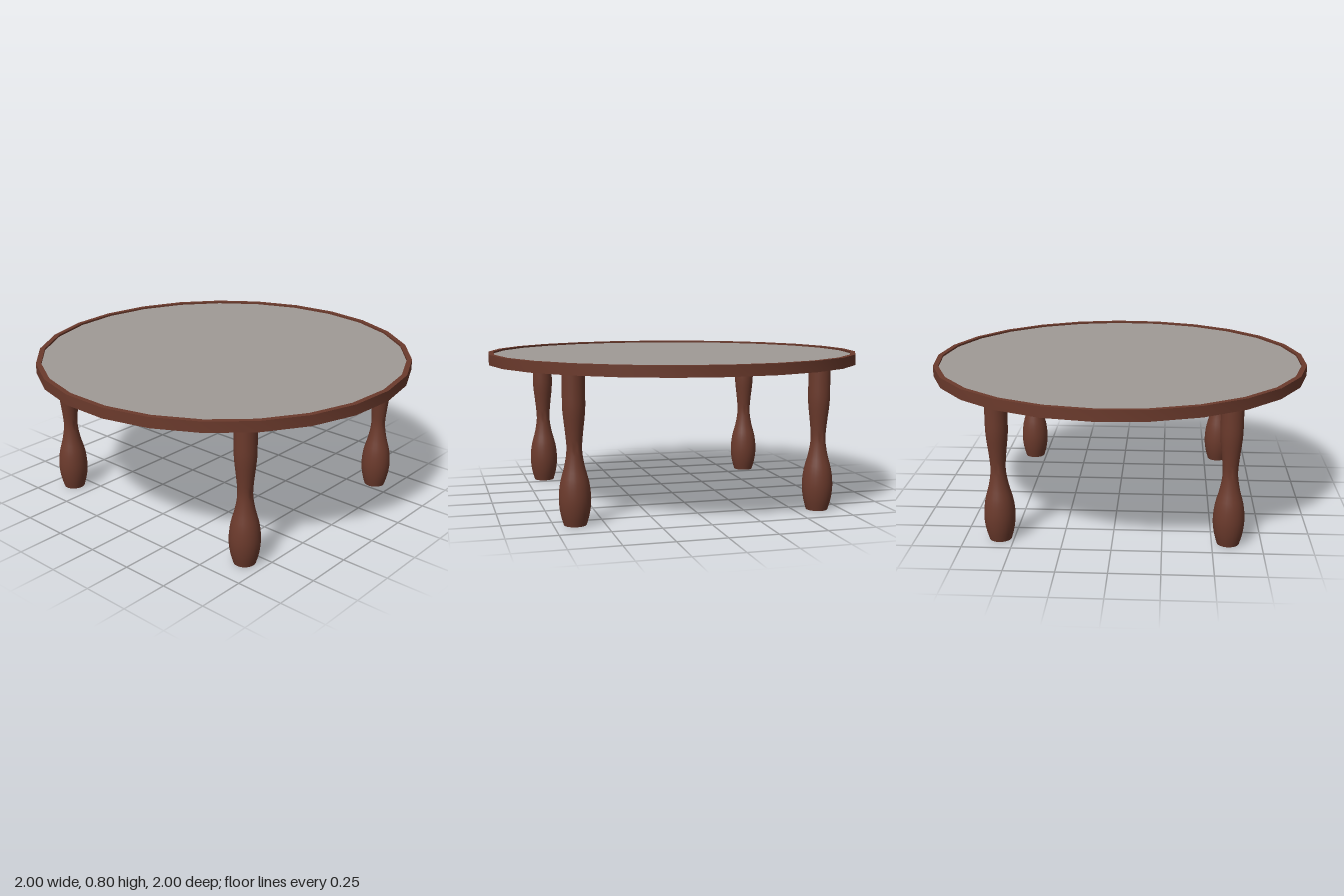
import * as THREE from 'three';
import { toCreasedNormals } from 'three/addons/utils/BufferGeometryUtils.js';

const SIDES = 25, RADIUS = 1.002, RIM = 0.027;
const TOP = 0.8, UNDERSIDE = 0.745, PANEL = 0.79;

const v2 = ([x, y]) => new THREE.Vector2(x, y);

export function createModel() {
  const group = new THREE.Group();
  const wood = new THREE.MeshStandardMaterial({ color: 0x6b3a2c });
  const inlay = new THREE.MeshStandardMaterial({ color: 0xa09a96 });

  const add = (name, geometry, material, x, y, z) => {
    const mesh = new THREE.Mesh(geometry, material);
    mesh.name = name;
    mesh.position.set(x, y, z);
    group.add(mesh);
  };

  // Table top: underside, outer edge and raised rim, with one corner towards +x
  const inner = RADIUS - RIM;
  const section = [[0, UNDERSIDE], [RADIUS, UNDERSIDE], [RADIUS, TOP], [inner, TOP], [inner, PANEL]].map(v2);
  const frame = toCreasedNormals(new THREE.LatheGeometry(section, SIDES, Math.PI / 2), 0.6);
  add('tableTopFrame', frame, wood, -0.004, 0, 0);

  // Inset panel, slightly below the rim
  const panel = new THREE.CircleGeometry(inner, SIDES).rotateX(-Math.PI / 2);
  add('insetPanel', panel, inlay, -0.004, PANEL, 0);

  // Turned leg: bulbous foot, narrow waist, straight upper part
  const curve = new THREE.SplineCurve([
    [0.056, 0], [0.072, 0.06], [0.079, 0.13], [0.071, 0.21], [0.05, 0.29],
    [0.038, 0.37], [0.043, 0.45], [0.055, 0.56], [0.056, 0.65], [0.056, 0.75],
  ].map(v2));
  const profile = [new THREE.Vector2(0, 0), ...curve.getPoints(27)];
  const leg = toCreasedNormals(new THREE.LatheGeometry(profile, 24), 0.7);
  for (const [side, sx] of [['Left', 1], ['Right', -1]])
    for (const [end, sz] of [['front', 1], ['back', -1]])
      add(`${end}${side}Leg`, leg, wood, sx * 0.576 - 0.006, 0, sz * 0.636 + 0.008);

  return group;
}
